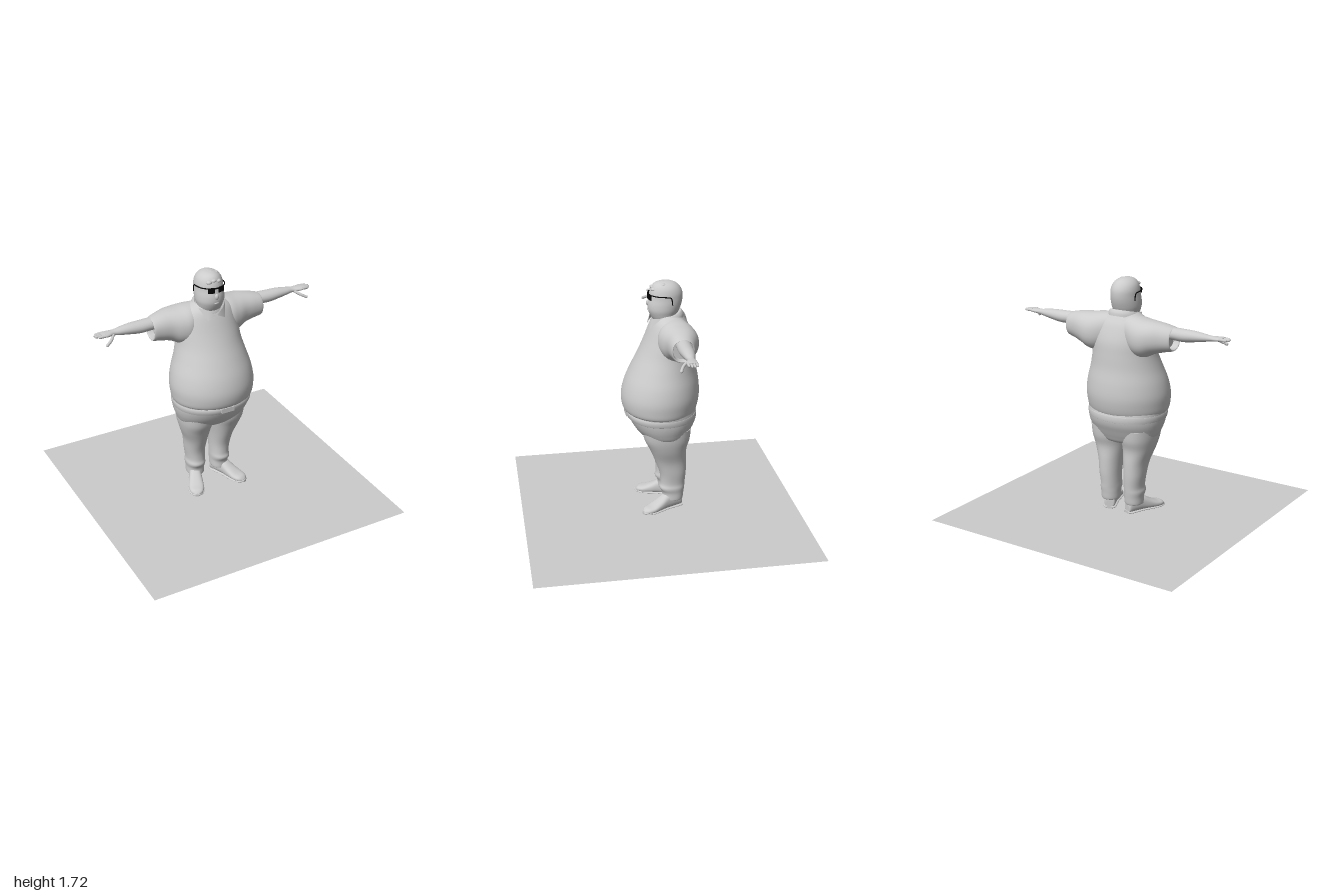
import * as THREE from 'three';

const grey = new THREE.MeshStandardMaterial({ color: 0xcccccc, side: THREE.DoubleSide });
grey.name = 'plain grey';
const black = new THREE.MeshStandardMaterial({ color: 0x050505 });
black.name = 'lens black';

// Catmull-Rom subdivision of a list of cross-sections
function refine(rows, steps) {
  const out = [];
  const at = i => rows[Math.max(0, Math.min(rows.length - 1, i))];
  for (let i = 0; i < rows.length - 1; i++) {
    for (let s = 0; s < steps; s++) {
      const t = s / steps;
      out.push(at(i).map((p1, k) => {
        const p0 = at(i - 1)[k], p2 = at(i + 1)[k], p3 = at(i + 2)[k];
        return p1 + 0.5 * t * (p2 - p0 + t * (2 * p0 - 5 * p1 + 4 * p2 - p3 + t * (3 * (p1 - p2) + p3 - p0)));
      }));
    }
  }
  out.push(at(rows.length - 1));
  return out;
}

// Rounded body through sections [t, aMin, aMax, bMin, bMax] along an axis;
// (a, b) are (y, z) along x, (z, x) along y and (x, y) along z
function loft(axis, sections, { power = 2, steps = 5, n = 40 } = {}) {
  const rows = refine(sections, steps), pos = [], idx = [];
  const put = (t, a, b) => pos.push(...(axis === 'x' ? [t, a, b] : axis === 'y' ? [b, t, a] : [a, b, t]));
  const ring = ([t, a0, a1, b0, b1]) => {
    for (let j = 0; j < n; j++) {
      const w = (j / n) * Math.PI * 2, c = Math.cos(w), s = Math.sin(w);
      const f = v => Math.sign(v) * Math.pow(Math.abs(v), 2 / power);
      put(t, (a0 + a1) / 2 + f(c) * (a1 - a0) / 2, (b0 + b1) / 2 + f(s) * (b1 - b0) / 2);
    }
  };
  rows.forEach(ring);
  for (let i = 0; i < rows.length - 1; i++) {
    for (let j = 0; j < n; j++) {
      const a = i * n + j, b = i * n + (j + 1) % n;
      idx.push(a, b, a + n, b, b + n, a + n);
    }
  }
  for (const end of [0, rows.length - 1]) {
    const r = rows[end], start = pos.length / 3;
    ring(r);
    put(r[0], (r[1] + r[2]) / 2, (r[3] + r[4]) / 2);
    for (let j = 0; j < n; j++) {
      const a = start + j, b = start + (j + 1) % n;
      idx.push(start + n, ...(end ? [a, b] : [b, a]));
    }
  }
  const g = new THREE.BufferGeometry();
  g.setAttribute('position', new THREE.Float32BufferAttribute(pos, 3));
  g.setIndex(idx);
  if (rows[0][0] > rows[rows.length - 1][0]) flip(g);
  g.computeVertexNormals();
  return g;
}

function flip(g) {
  const a = g.index.array;
  for (let i = 0; i < a.length; i += 3) [a[i], a[i + 1]] = [a[i + 1], a[i]];
}

function mirrored(geo) {
  const g = geo.clone(), p = g.attributes.position, q = g.attributes.normal;
  for (let i = 0; i < p.count; i++) { p.setX(i, -p.getX(i)); q.setX(i, -q.getX(i)); }
  flip(g);
  return g;
}

// Tube through a few points
const tube = (pts, r) => new THREE.TubeGeometry(
  new THREE.CatmullRomCurve3(pts.map(p => new THREE.Vector3(...p))), 16, r, 8);
const ball = (x, y, z, sx, sy, sz) => new THREE.SphereGeometry(1, 16, 12).scale(sx, sy, sz).translate(x, y, z);
// Symmetric section of the trunk: height, half width, back, front
const trunk = list => list.map(([y, w, back, front]) => [y, back, front, -w, w]);

export function createModel() {
  const model = new THREE.Group();
  const figure = new THREE.Group();
  figure.name = 'figure';
  figure.position.x = -0.035;
  const add = (name, geo, mat = grey) => {
    const m = new THREE.Mesh(geo, mat);
    m.name = name;
    figure.add(m);
  };
  const pair = (name, geo, mat = grey) => {
    add('left' + name, geo, mat);
    add('right' + name, mirrored(geo), mat);
  };

  // Square floor sheet under the figure
  const base = new THREE.Mesh(new THREE.PlaneGeometry(2, 2).rotateX(-Math.PI / 2), grey);
  base.name = 'basePlate';
  model.add(base, figure);

  // Shirt with big belly
  add('shirt', loft('y', trunk([
    [0.77, 0.26, -0.255, 0.2], [0.785, 0.293, -0.272, 0.243], [0.84, 0.304, -0.288, 0.26],
    [0.91, 0.307, -0.296, 0.259], [1.0, 0.292, -0.29, 0.235], [1.1, 0.262, -0.274, 0.19],
    [1.2, 0.238, -0.267, 0.14], [1.3, 0.228, -0.256, 0.095], [1.4, 0.205, -0.22, 0.055],
    [1.45, 0.165, -0.187, 0.03], [1.485, 0.1, -0.16, 0.0],
  ]), { n: 56 }));
  // Short sleeves with a turned-in hem
  pair('Sleeve', loft('x', [
    [0.06, 1.25, 1.475, -0.2, -0.01], [0.15, 1.2, 1.472, -0.24, 0.025], [0.22, 1.2, 1.464, -0.25, 0.015],
    [0.29, 1.232, 1.458, -0.235, -0.008], [0.36, 1.252, 1.447, -0.207, -0.018],
    [0.42, 1.265, 1.432, -0.184, -0.025], [0.421, 1.277, 1.425, -0.175, -0.034],
    [0.38, 1.28, 1.425, -0.175, -0.034],
  ], { power: 2.2 }));
  // Collar band, higher at the nape, and two pointed flaps
  const band = loft('y', trunk([
    [1.44, 0.118, -0.185, 0.045], [1.465, 0.112, -0.18, 0.04], [1.487, 0.1, -0.165, 0.03], [1.48, 0.09, -0.15, 0.02],
  ]));
  const bp = band.attributes.position;
  for (let i = 0; i < bp.count; i++) bp.setY(i, bp.getY(i) - (bp.getZ(i) + 0.07) * 0.25);
  band.computeVertexNormals();
  add('collarBand', band);
  const flap = new THREE.BufferGeometry();
  flap.setAttribute('position', new THREE.Float32BufferAttribute(
    [0.006, 1.425, 0.062, 0.066, 1.395, 0.064, 0.104, 1.475, -0.01, 0.06, 1.465, 0.045], 3));
  flap.setIndex([0, 1, 3, 1, 2, 3]);
  flap.computeVertexNormals();
  pair('CollarFlap', flap);

  // Trousers: seat, legs, belt
  add('trouserSeat', loft('y', trunk([
    [0.54, 0.1, -0.15, 0.02], [0.56, 0.19, -0.195, 0.085], [0.6, 0.243, -0.22, 0.13], [0.65, 0.266, -0.245, 0.172],
    [0.7, 0.28, -0.268, 0.2], [0.75, 0.286, -0.277, 0.217], [0.8, 0.29, -0.265, 0.22],
  ]), { power: 2.1, n: 48 }));
  pair('TrouserLeg', loft('y', [
    [0.085, -0.15, -0.03, 0.045, 0.155], [0.09, -0.168, -0.02, 0.035, 0.165], [0.14, -0.175, -0.018, 0.033, 0.166],
    [0.18, -0.18, 0.002, 0.031, 0.172], [0.22, -0.183, -0.005, 0.032, 0.167], [0.3, -0.19, 0.002, 0.031, 0.177],
    [0.4, -0.191, 0.036, 0.024, 0.19], [0.5, -0.19, 0.076, 0.01, 0.224],
    [0.58, -0.212, 0.115, 0.0, 0.243], [0.66, -0.22, 0.13, 0.0, 0.25],
  ], { power: 2.2 }));
  add('belt', loft('y', trunk([
    [0.728, 0.28, -0.27, 0.21], [0.73, 0.287, -0.277, 0.223], [0.77, 0.291, -0.277, 0.229], [0.772, 0.28, -0.27, 0.21],
  ]), { steps: 2, power: 2.1 }));
  add('beltBuckle', new THREE.BoxGeometry(0.1, 0.035, 0.02).translate(0, 0.757, 0.225));

  // Shoes, splayed outwards, on flat soles
  const shoe = rows => loft('z', rows, { power: 2.4 }).rotateY(0.4).translate(0.137, 0, -0.012);
  pair('Shoe', shoe([
    [-0.155, -0.025, 0.025, 0.03, 0.08], [-0.145, -0.04, 0.04, 0.02, 0.12], [-0.09, -0.045, 0.045, 0.02, 0.145],
    [-0.03, -0.046, 0.046, 0.02, 0.135], [0.03, -0.052, 0.052, 0.02, 0.1], [0.09, -0.055, 0.055, 0.02, 0.072],
    [0.135, -0.043, 0.043, 0.02, 0.06], [0.158, -0.015, 0.015, 0.022, 0.04],
  ]));
  pair('Sole', shoe([
    [-0.16, -0.025, 0.025, 0.018, 0.036], [-0.14, -0.046, 0.046, 0.018, 0.036], [-0.03, -0.046, 0.046, 0.018, 0.036],
    [0.08, -0.059, 0.059, 0.018, 0.036], [0.135, -0.047, 0.047, 0.018, 0.036], [0.163, -0.015, 0.015, 0.018, 0.036],
  ]));

  // Arms, palms, fingers and thumbs
  pair('Arm', loft('x', [
    [0.3, 1.33, 1.43, -0.16, -0.055], [0.4, 1.345, 1.432, -0.158, -0.056], [0.5, 1.342, 1.43, -0.156, -0.055],
    [0.58, 1.352, 1.428, -0.15, -0.06], [0.65, 1.364, 1.42, -0.138, -0.068], [0.7, 1.373, 1.413, -0.127, -0.075],
    [0.74, 1.378, 1.412, -0.132, -0.06], [0.77, 1.382, 1.412, -0.132, -0.054], [0.795, 1.388, 1.41, -0.127, -0.056],
  ], { n: 24 }));
  [0.832, 0.845, 0.842, 0.825].forEach((tip, i) => {
    const z = -0.12 + i * 0.0185;
    pair('Finger' + (i + 1), loft('x', [
      [0.77, 1.388, 1.41, z - 0.009, z + 0.009], [tip - 0.02, 1.388, 1.407, z - 0.009, z + 0.009],
      [tip - 0.005, 1.391, 1.405, z - 0.006, z + 0.006], [tip, 1.396, 1.4, z - 0.002, z + 0.002],
    ], { n: 10, steps: 3 }));
  });
  pair('Thumb', tube([[0.71, 1.388, -0.075], [0.745, 1.368, -0.04], [0.78, 1.35, -0.022]], 0.0105));
  pair('ThumbTip', ball(0.78, 1.35, -0.022, 0.011, 0.011, 0.011));

  // Head with nose and lips
  add('head', loft('y', trunk([
    [1.4, 0.09, -0.145, 0.0], [1.45, 0.086, -0.138, 0.035], [1.485, 0.093, -0.14, 0.055], [1.52, 0.101, -0.155, 0.068],
    [1.56, 0.102, -0.169, 0.069], [1.6, 0.099, -0.176, 0.061], [1.64, 0.096, -0.174, 0.056], [1.675, 0.085, -0.158, 0.044],
    [1.7, 0.064, -0.133, 0.026], [1.715, 0.035, -0.1, -0.005], [1.72, 0.005, -0.065, -0.05],
  ])));
  add('nose', ball(0, 1.567, 0.066, 0.015, 0.022, 0.014));
  add('lips', ball(0, 1.519, 0.065, 0.02, 0.006, 0.008));
  // Sparse curls on the crown
  for (let i = 0; i < 9; i++) {
    const x = ((i % 3) - 1) * 0.035, row = Math.floor(i / 3);
    add('hairCurl', ball(x + 0.006 * (row - 1), 1.675 + row * 0.016 - Math.abs(x) * 0.2, 0.03 - row * 0.032, 0.021, 0.013, 0.02));
  }

  // Dark glasses with hooked temples
  pair('Lens', new THREE.BoxGeometry(0.049, 0.04, 0.006).rotateY(0.3).translate(0.037, 1.616, 0.06), black);
  add('glassesBridge', new THREE.BoxGeometry(0.034, 0.008, 0.006).translate(0, 1.63, 0.067), black);
  pair('GlassesTemple', tube([
    [0.055, 1.632, 0.055], [0.09, 1.63, 0.012], [0.101, 1.627, -0.04], [0.099, 1.618, -0.08], [0.097, 1.568, -0.09],
  ], 0.004), black);

  return model;
}
